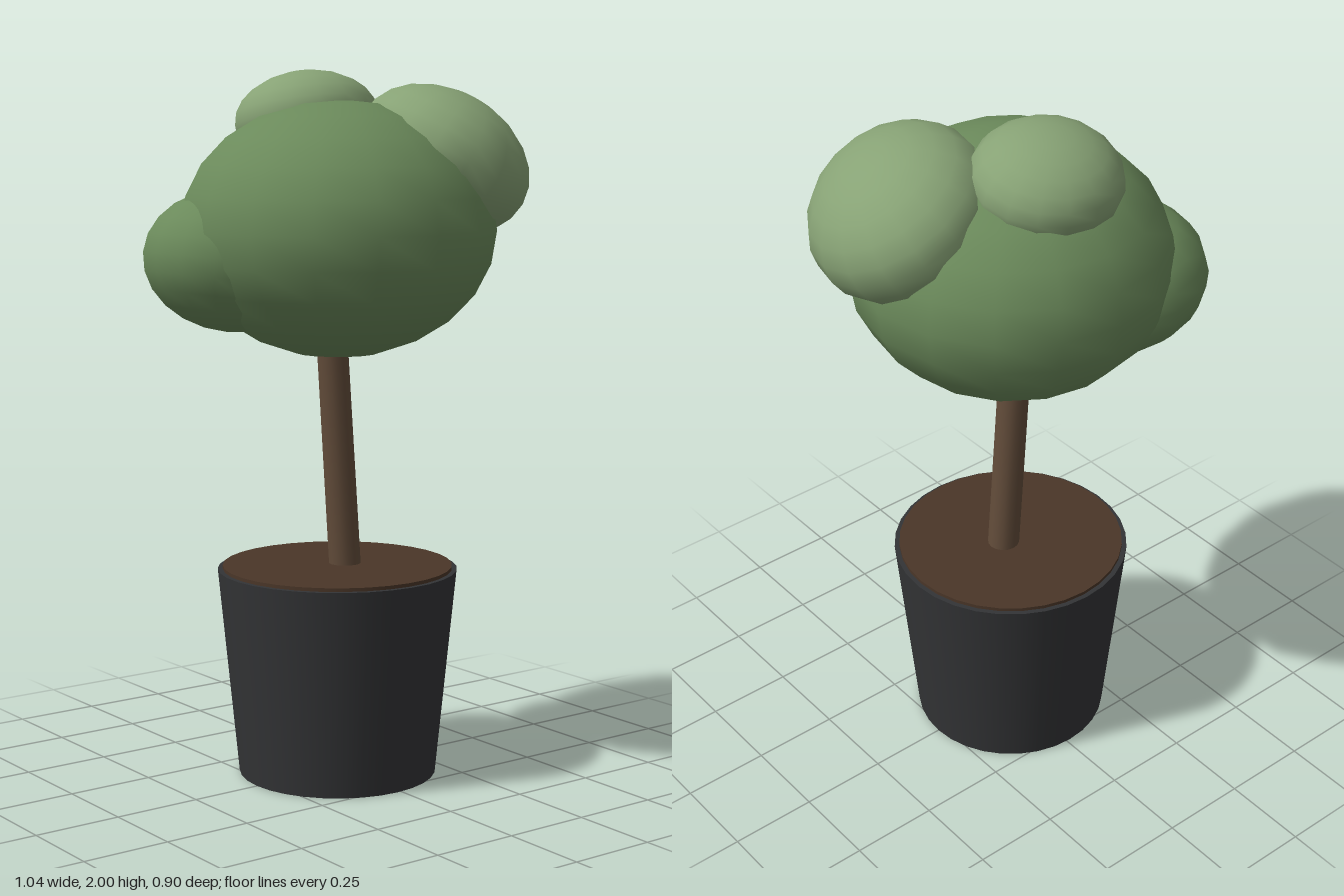
import * as THREE from 'three';

const CX = -0.012; // axis of the pot and crown

function addMesh(group, name, geometry, color) {
  const mesh = new THREE.Mesh(geometry, new THREE.MeshStandardMaterial({ color }));
  mesh.name = name;
  group.add(mesh);
  return mesh;
}

// One ellipsoid clump of leaves
function addClump(group, { name, color, at, radii, turn = [0, 0, 0], segments = [16, 12] }) {
  const clump = addMesh(group, name, new THREE.SphereGeometry(1, ...segments), color);
  clump.position.set(...at);
  clump.scale.set(...radii);
  clump.rotation.set(...turn, 'YXZ');
}

export function createModel() {
  const tree = new THREE.Group();
  tree.name = 'pottedTree';

  // Tapered pot
  const pot = addMesh(tree, 'pot', new THREE.CylinderGeometry(0.342, 0.283, 0.595, 32), 0x333436);
  pot.position.set(CX, 0.2975, 0);

  // Soil disc, just proud of the rim
  const soil = addMesh(tree, 'soil', new THREE.CylinderGeometry(0.328, 0.328, 0.04, 32), 0x4a3628);
  soil.position.set(CX, 0.585, 0);

  // Leaning trunk, reaching into the crown
  const trunk = addMesh(tree, 'trunk', new THREE.CylinderGeometry(0.044, 0.046, 0.9, 16), 0x624c3a);
  trunk.position.set(-0.013, 1.0, 0);
  trunk.rotation.z = 0.07;

  // Leaf crown
  const green = 0x6b8a5b;
  const paleGreen = 0x87a275;
  const crown = new THREE.Group();
  crown.name = 'crown';
  tree.add(crown);
  [
    { name: 'mainFoliage', color: green, at: [CX, 1.56, 0], radii: [0.445, 0.36, 0.45] },
    { name: 'frontLeftFoliage', color: paleGreen, at: [0.265, 1.75, 0.117], radii: [0.26, 0.196, 0.297], turn: [0, -0.43, -0.53] },
    { name: 'topFoliage', color: paleGreen, at: [-0.01, 1.862, -0.148], radii: [0.21, 0.138, 0.2], turn: [-0.2, 0, 0] },
    { name: 'backRightFoliage', color: green, at: [-0.27, 1.475, -0.135], radii: [0.257, 0.2, 0.255], turn: [0, 0, -0.12] },
  ].forEach((clump) => addClump(crown, clump));

  return tree;
}
